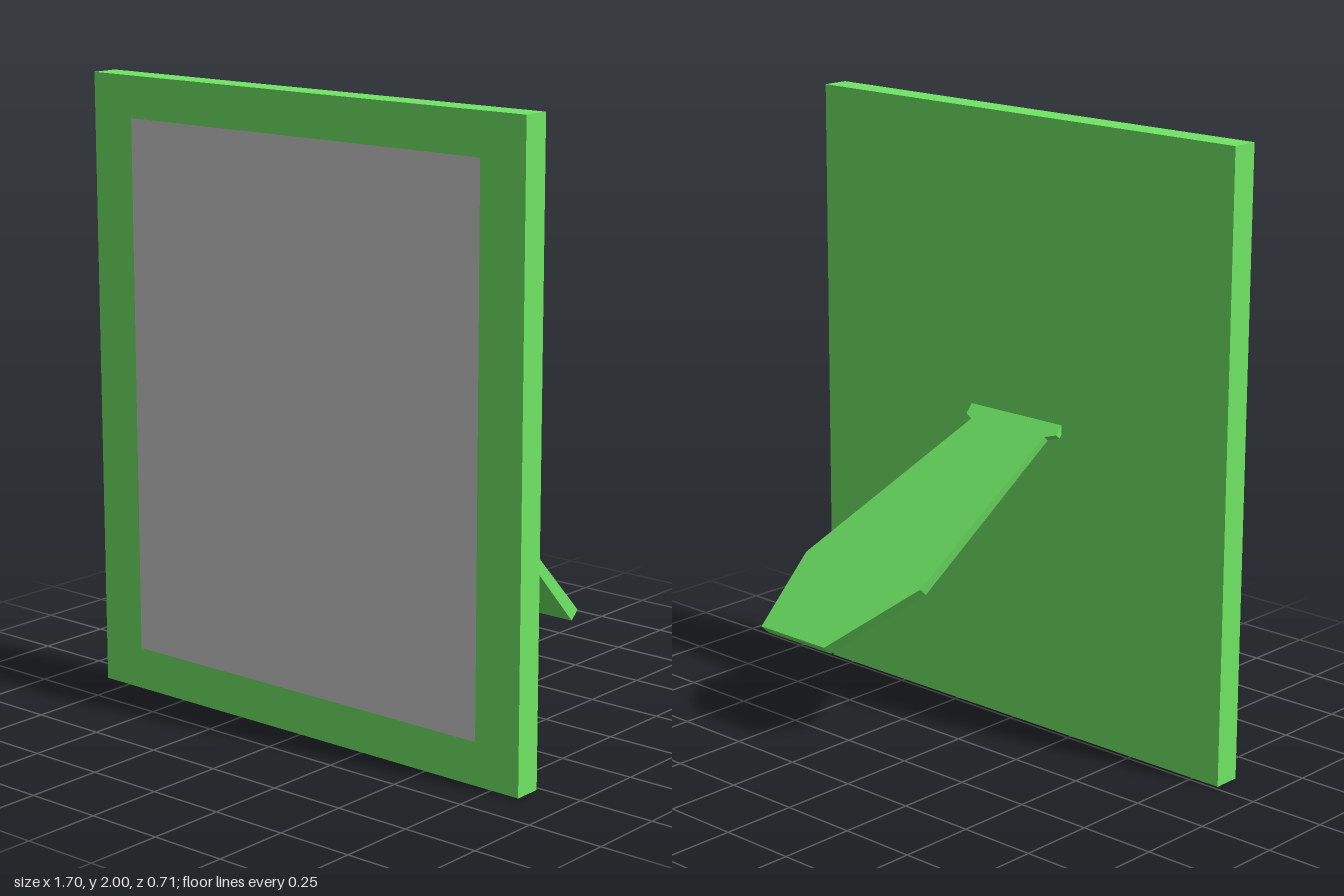
import * as THREE from 'three';

export function createModel() {
  const group = new THREE.Group();
  const green = new THREE.MeshStandardMaterial({ color: 0x6fe664, flatShading: true });
  const grey = new THREE.MeshStandardMaterial({ color: 0xcccccc });

  const add = (name, geometry, material) => {
    const mesh = new THREE.Mesh(geometry, material);
    mesh.name = name;
    group.add(mesh);
    return mesh;
  };

  // Flat rectangular board
  add('frame', new THREE.BoxGeometry(1.7, 2, 0.09), green).position.set(0, 1, 0.31);

  // Picture area, practically flush with the front of the board
  add('picturePanel', new THREE.PlaneGeometry(1.38, 1.73), grey).position.set(0, 1.002, 0.356);

  // Plan outline of the stand with its hinge flange, as (x, -z)
  const outline = [
    [-0.195, -0.267], [0.19, -0.267], [0.19, -0.24], [0.16, -0.23],
    [0.525, 0.165], [0.54, 0.355], [0.25, 0.355], [0.005, 0.17],
    [-0.155, -0.23], [-0.195, -0.24],
  ].map(([x, d]) => new THREE.Vector2(x, d));
  const leg = new THREE.ExtrudeGeometry(new THREE.Shape(outline), { depth: 1, bevelEnabled: false });

  // Lay the outline on a slope, thickening it towards the foot
  const pos = leg.attributes.position;
  for (let i = 0; i < pos.count; i++) {
    const x = pos.getX(i), d = pos.getY(i);
    const isUnderside = pos.getZ(i) < 0.5;
    const t = isUnderside ? THREE.MathUtils.mapLinear(d, -0.267, 0.355, 0.02, 0.042) : 0;
    const y = 1.04 - (d + 0.27) * 1.112;
    pos.setXYZ(i, x, y - t * 0.68, -d + t * 0.73);
  }
  leg.computeVertexNormals();
  add('standLeg', leg, green);

  return group;
}
